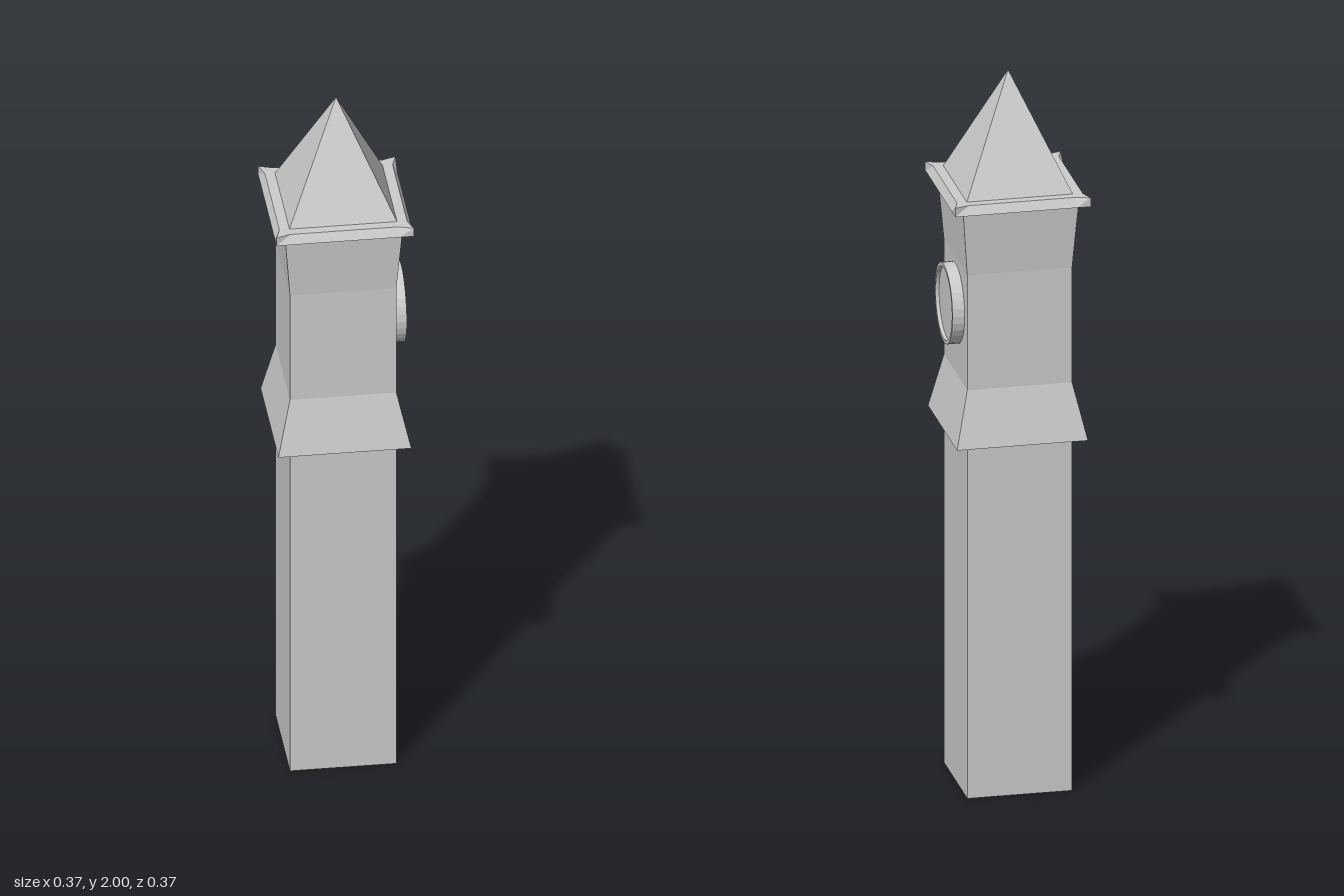
import * as THREE from 'three';

const material = new THREE.MeshStandardMaterial({ color: 0xcccccc, flatShading: true, side: THREE.DoubleSide });

function add(group, name, geometry) {
  const mesh = new THREE.Mesh(geometry, material);
  mesh.name = name;
  group.add(mesh);
  return mesh;
}

// Square frustum between two heights, given half-widths
function frustum(y0, half0, y1, half1, open = false) {
  const g = new THREE.CylinderGeometry(half1 * Math.SQRT2, half0 * Math.SQRT2, y1 - y0, 4, 1, open);
  return g.rotateY(Math.PI / 4).translate(0, (y0 + y1) / 2, 0);
}

// Slab with a square base and a top whose sides pinch in between pointed corners
function corniceGeometry(y0, y1, half, inset, cornerStart) {
  const outline = (mid) => {
    const pts = [];
    for (let i = 0; i < 4; i++) {
      const c = Math.round(Math.cos(i * Math.PI / 2)), s = Math.round(Math.sin(i * Math.PI / 2));
      for (const [x, z] of [[half, half], [cornerStart, mid], [-cornerStart, mid]]) {
        pts.push([x * c - z * s, x * s + z * c]);
      }
    }
    return pts;
  };
  const lower = outline(half), upper = outline(inset), n = lower.length;
  const positions = [], index = [];
  for (const [x, z] of lower) positions.push(x, y0, z);
  for (const [x, z] of upper) positions.push(x, y1, z);
  positions.push(0, y0, 0, 0, y1, 0);
  for (let i = 0; i < n; i++) {
    const j = (i + 1) % n;
    index.push(i, n + i, j, j, n + i, n + j); // side
    index.push(2 * n, i, j); // underside
    index.push(2 * n + 1, n + j, n + i); // top
  }
  const g = new THREE.BufferGeometry();
  g.setAttribute('position', new THREE.Float32BufferAttribute(positions, 3));
  g.setIndex(index);
  g.computeVertexNormals();
  return g;
}

export function createModel() {
  const tower = new THREE.Group();
  tower.name = 'clockTower';
  const half = 0.1425;

  // Tower body, from the ground up
  add(tower, 'lowerShaft', frustum(0, half, 1, half));
  add(tower, 'flaredSkirt', frustum(1, 0.178, 1.155, half));
  add(tower, 'clockStage', frustum(1.155, half, 1.48, half, true));
  add(tower, 'flaredNeck', frustum(1.48, half, 1.663, 0.157, true));

  // Cornice and pyramid roof
  add(tower, 'cornice', corniceGeometry(1.663, 1.688, 0.184, 0.171, 0.145));
  add(tower, 'roof', frustum(1.688, 0.144, 2, 0));

  // Clock on the left wall: raised rim around a recessed dial
  const profile = [[0.11, 0], [0.11, 0.035], [0.1, 0.035], [0.1, 0.025], [0, 0.025]]
    .map(([r, h]) => new THREE.Vector2(r, h));
  const clock = add(tower, 'clockFace', new THREE.LatheGeometry(profile, 32).rotateZ(-Math.PI / 2));
  clock.position.set(0.14, 1.353, 0);

  return tower;
}
